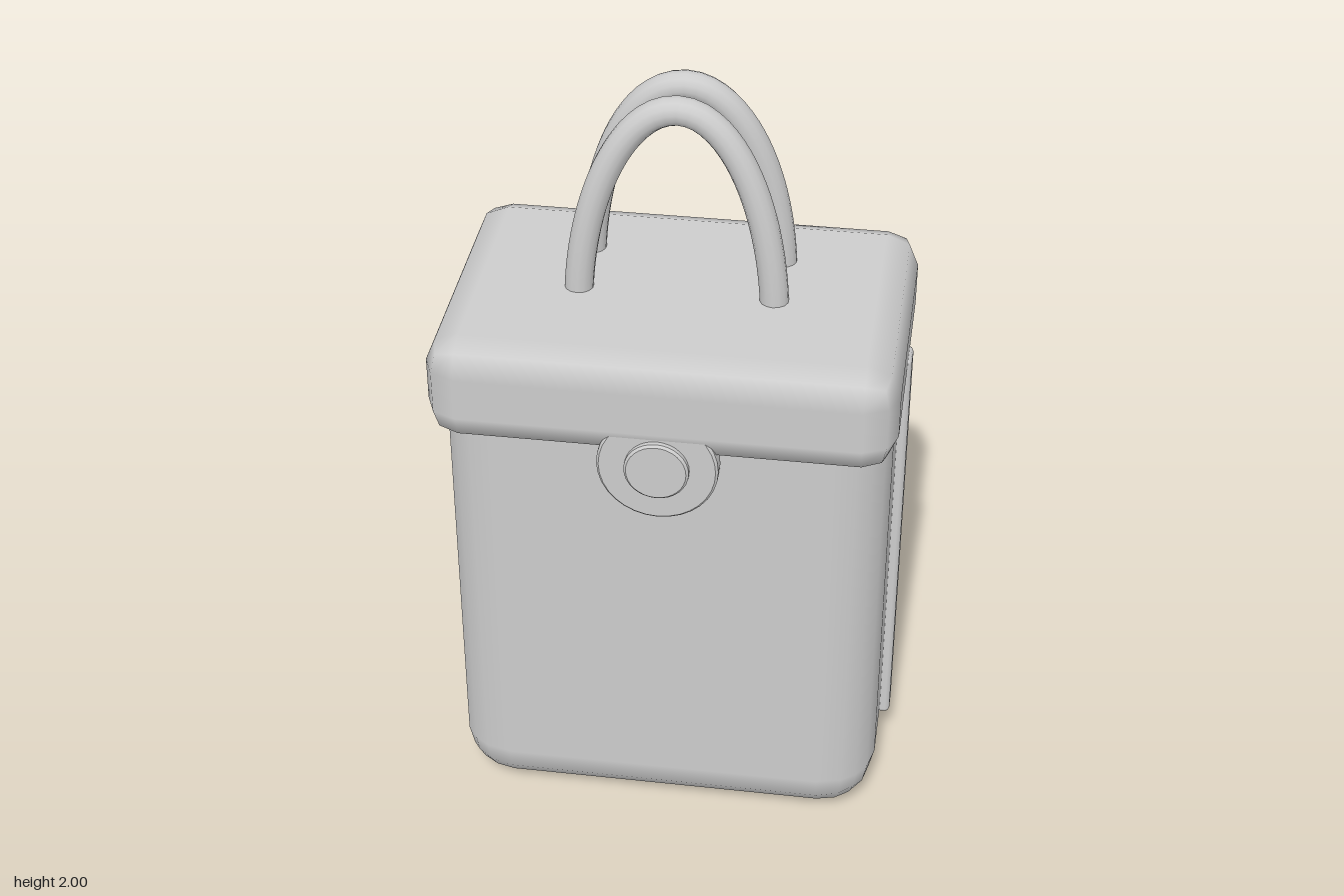
import * as THREE from 'three';
import { RoundedBoxGeometry } from 'three/addons/geometries/RoundedBoxGeometry.js';

export function createModel() {
  const bag = new THREE.Group();
  bag.name = 'handbag';
  const grey = new THREE.MeshStandardMaterial({ color: 0xcccccc });
  grey.name = 'plain grey';

  const add = (name, geometry, x = 0, y = 0, z = 0) => {
    const mesh = new THREE.Mesh(geometry, grey);
    mesh.name = name;
    mesh.position.set(x, y, z);
    bag.add(mesh);
    return mesh;
  };

  // Rounded box given by its lower and upper limits
  const roundedBox = (name, [x0, y0, z0], [x1, y1, z1], segments, radius) =>
    add(name, new RoundedBoxGeometry(x1 - x0, y1 - y0, z1 - z0, segments, radius),
      (x0 + x1) / 2, (y0 + y1) / 2, (z0 + z1) / 2);

  // Body and overhanging lid
  roundedBox('body', [-0.56, 0.005, -0.405], [0.56, 1.41, 0.332], 2, 0.145);
  roundedBox('lid', [-0.576, 1.2, -0.378], [0.576, 1.478, 0.395], 1, 0.083);

  // Raised strip down each side
  for (const [name, s] of [['leftStrip', 1], ['rightStrip', -1]]) {
    roundedBox(name, [s * 0.56 - 0.026, 0.125, -0.075], [s * 0.56 + 0.026, 1.295, 0.004], 1, 0.012);
  }

  // Clasp: a softly edged plate with a smaller button on it
  const disc = (name, radius, back, front, bevel) => {
    const d = front - back;
    const profile = [[0, 0], [radius, 0], [radius, d - bevel], [radius - bevel, d], [0, d]];
    // Split the profile so that the edges stay sharp
    for (let i = 0; i < profile.length - 1; i++) {
      const points = [profile[i], profile[i + 1]].map(p => new THREE.Vector2(...p));
      add(name, new THREE.LatheGeometry(points, 32), 0, 1.18, back).rotation.x = Math.PI / 2;
    }
  };
  disc('claspPlate', 0.15, 0.343, 0.387, 0.006);
  disc('claspButton', 0.08, 0.38, 0.405, 0.006);

  // Two arched handles leaning towards each other
  const handle = (name, footZ, topZ) => {
    const points = [];
    for (let i = 0; i <= 16; i++) {
      const a = (i / 16) * Math.PI;
      const rise = Math.sin(a);
      points.push(new THREE.Vector3(
        0.245 * Math.cos(a),
        1.4 + 0.565 * rise,
        THREE.MathUtils.lerp(footZ, topZ, rise * rise)));
    }
    add(name, new THREE.TubeGeometry(new THREE.CatmullRomCurve3(points), 48, 0.036, 14));
  };
  handle('frontHandle', 0.057, 0.028);
  handle('backHandle', -0.135, -0.106);

  return bag;
}
